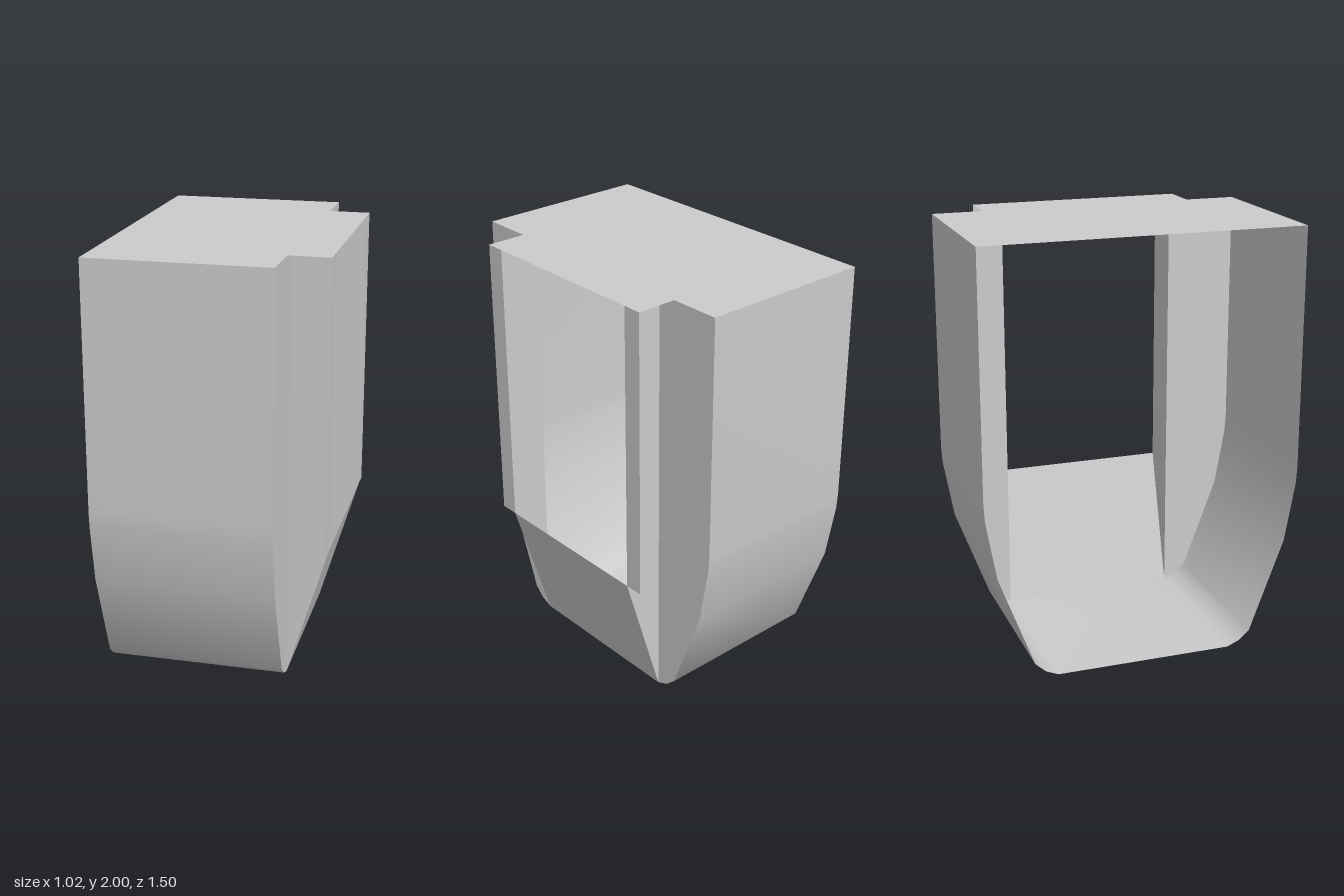
import * as THREE from 'three';
import { toCreasedNormals } from 'three/addons/utils/BufferGeometryUtils.js';

const BACK = -0.51, END = 0.32, LIP = 0.51; // x of open side, pod end wall, lip
const INNER = 0.42, OUTER = 0.75, TOP = 2, SILL = 0.64;

// Ruled sheet between two rows of [x, y, z] points
function sheet(a, b) {
  const index = [];
  for (let i = 0; i < a.length - 1; i++) {
    const n = a.length + i;
    index.push(i, i + 1, n + 1, i, n + 1, n);
  }
  const g = new THREE.BufferGeometry();
  g.setAttribute('position', new THREE.Float32BufferAttribute([...a, ...b].flat(), 3));
  g.setIndex(index);
  return toCreasedNormals(g, 0.8);
}

export function createModel() {
  const group = new THREE.Group();
  const material = new THREE.MeshStandardMaterial({ color: 0xcccccc, side: THREE.DoubleSide });
  const add = (name, geometry) => {
    const mesh = new THREE.Mesh(geometry, material);
    mesh.name = name;
    group.add(mesh);
  };

  // Half of the U section as [z, y], from the top down to the floor
  const half = [[OUTER, TOP], [OUTER, 0.87], [0.745, 0.79], [0.695, 0.51],
    [0.53, 0.07], [0.48, 0.025], [INNER, 0]];
  const full = [...half, ...half.map(([z, y]) => [-z, y]).reverse()];

  // U-shaped shell, open towards -x
  add('shell', sheet(full.map(([z, y]) => [BACK, y, z]), full.map(([z, y]) => [END, y, z])));

  // Flat top: wide over the shell, narrower over the lips
  const top = new THREE.Shape([[BACK, -OUTER], [END, -OUTER], [END, -LIP], [LIP, -LIP],
    [LIP, LIP], [END, LIP], [END, OUTER], [BACK, OUTER]].map(p => new THREE.Vector2(...p)));
  add('topPlate', new THREE.ShapeGeometry(top).rotateX(-Math.PI / 2).translate(0, TOP, 0));

  // Sloping panel below the window
  add('sillPanel', sheet([[END, 0, INNER], [END, 0, -INNER]],
    [[LIP, SILL, INNER], [LIP, SILL, -INNER]]));

  // End wall, window jamb and turned-out lip on each side
  for (const [side, s] of [['Front', 1], ['Back', -1]]) {
    const part = (name, a, b) => add(name + side, s > 0 ? sheet(a, b) : sheet(b, a));
    part('endWall', half.map(([z, y]) => [END, y, s * z]), half.map(([, y]) => [END, y, s * INNER]));
    part('jamb', [TOP, SILL, 0].map(y => [END, y, s * INNER]),
      [[LIP, TOP], [LIP, SILL], [END, 0]].map(([x, y]) => [x, y, s * INNER]));
    part('lip', [TOP, SILL].map(y => [LIP, y, s * LIP]), [TOP, SILL].map(y => [LIP, y, s * INNER]));
  }
  return group;
}
